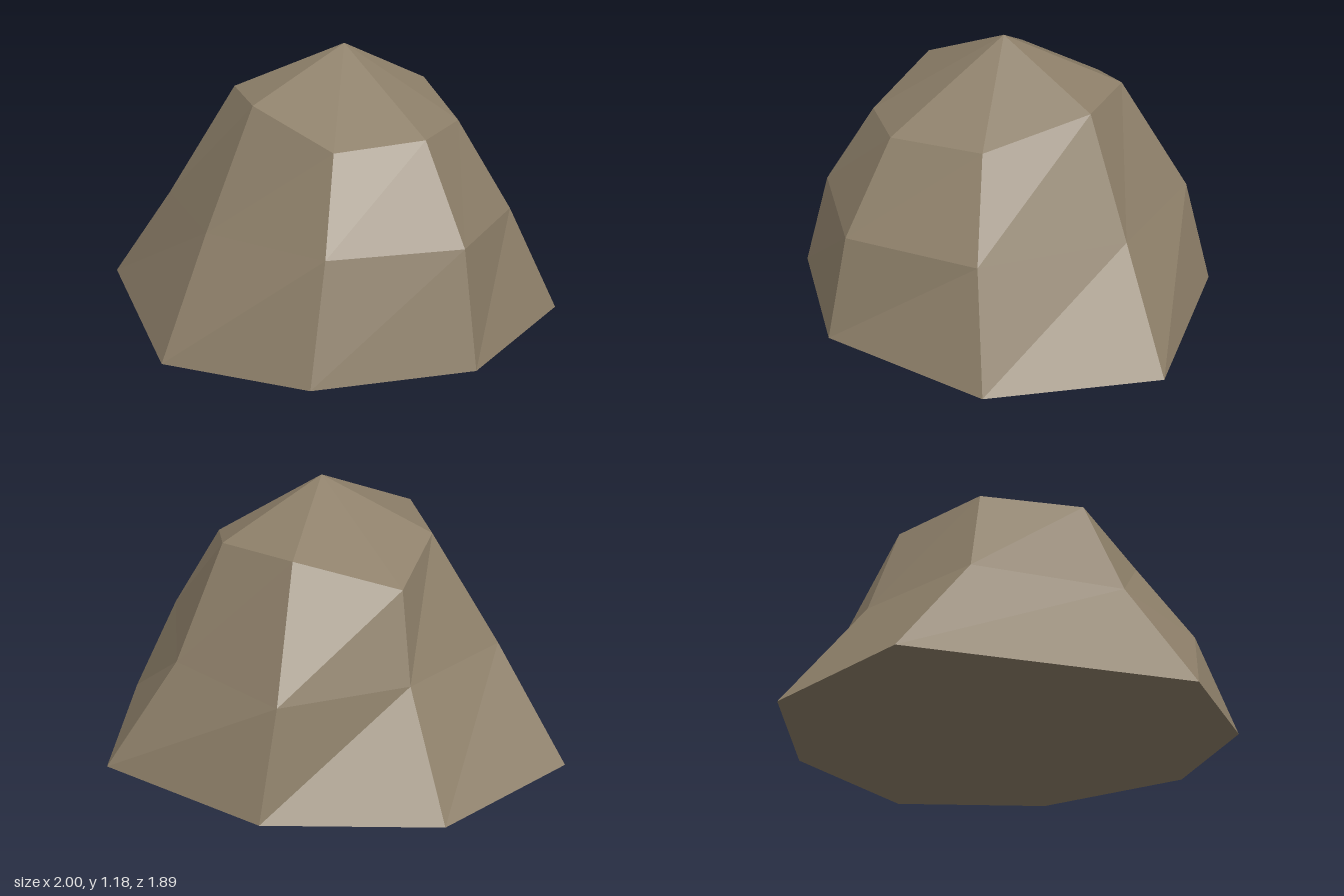
import * as THREE from 'three';

// Corners run anticlockwise seen from above, starting at the front: [x, y, z]
const foot = [[0.3, 0, 0.94], [0.89, 0, 0.42], [1, 0, -0.32], [0.37, 0, -0.84],
  [-0.37, 0, -0.95], [-1, 0, -0.57], [-0.89, 0, 0.56], [-0.37, 0, 0.94]];
const waist = [[0.28, 0.47, 0.83], [0.67, 0.47, 0.37], [0.67, 0.47, -0.27], [0.28, 0.47, -0.73],
  [-0.28, 0.47, -0.62], [-0.75, 0.47, -0.27], [-0.67, 0.47, 0.37], [-0.28, 0.47, 0.82]];
const shoulder = [[0.19, 0.86, 0.6], [0.45, 0.86, 0.28], [0.45, 0.97, -0.18], [0.18, 0.97, -0.43],
  [-0.26, 0.85, -0.5], [-0.45, 0.97, -0.18], [-0.45, 0.97, 0.28], [-0.19, 0.83, 0.6]];
const peak = [0, 1.18, 0.05];
const baseCentre = [0, 0, 0];

// Unshared corners keep every facet flat
function facetMesh(name, triangles, material) {
  const geometry = new THREE.BufferGeometry();
  geometry.setAttribute('position', new THREE.Float32BufferAttribute(triangles.flat(2), 3));
  geometry.computeVertexNormals();
  const mesh = new THREE.Mesh(geometry, material);
  mesh.name = name;
  return mesh;
}

// Wall of quads between two rings
function band(lower, upper) {
  return lower.flatMap((a, i) => {
    const j = (i + 1) % lower.length;
    return [[a, lower[j], upper[j]], [a, upper[j], upper[i]]];
  });
}

// Fan closing a ring to one point
function fan(ring, tip, down = false) {
  return ring.map((a, i) => {
    const b = ring[(i + 1) % ring.length];
    return down ? [b, a, tip] : [a, b, tip];
  });
}

export function createModel() {
  const stone = new THREE.MeshStandardMaterial({ color: 0x8c7e68, flatShading: true });
  stone.name = 'brownStone';

  const rock = new THREE.Group();
  rock.name = 'rock';
  rock.add(
    facetMesh('lowerSlope', band(foot, waist), stone),
    facetMesh('upperSlope', band(waist, shoulder), stone),
    facetMesh('cap', fan(shoulder, peak), stone),
    facetMesh('underside', fan(foot, baseCentre, true), stone),
  );
  return rock;
}
